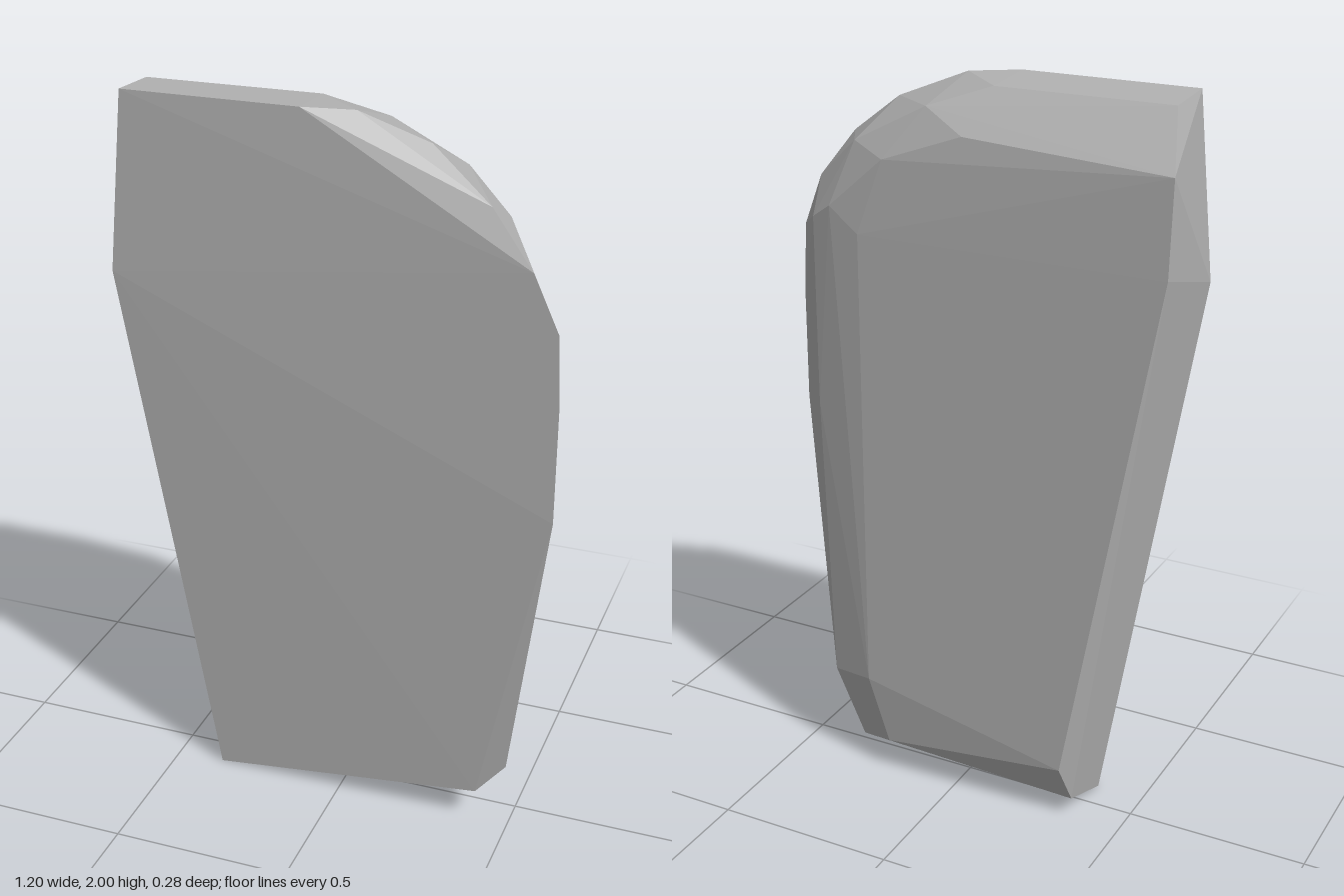
import * as THREE from 'three';
import { ConvexGeometry } from 'three/addons/geometries/ConvexGeometry.js';

export function createModel() {
  const model = new THREE.Group();
  const stone = new THREE.MeshStandardMaterial({ color: 0xb2b2b2 });
  stone.name = 'stone grey';

  // Outline of the broad front face
  const front = [
    [-0.365, 0, 0.085], [0.41, 0.105, 0.108], [0.495, 0.21, 0.11],
    [0.595, 1.0, 0.14], [0.595, 1.32, 0.14], [0.585, 1.51, 0.14],
    [0.515, 1.66, 0.14], [-0.6, 1.52, 0.14],
  ];
  // Chipped, rounded top
  const crown = [
    [-0.555, 2, 0.135], [-0.08, 2, 0.13], [0.05, 1.993, 0.085],
    [0.23, 1.92, 0.05], [0.4, 1.8, 0.11],
    [-0.555, 1.99, -0.02], [-0.08, 1.99, -0.03], [0.08, 1.935, -0.085],
    [0.28, 1.83, -0.095], [0.4, 1.72, -0.065],
  ];
  // Bevelled rim of the back face
  const back = [
    [-0.6, 1.85, -0.135], [-0.04, 1.88, -0.125], [0.18, 1.8, -0.135],
    [0.34, 1.66, -0.13], [0.4, 1.62, -0.112], [0.4, 1.1, -0.11],
    [0.38, 0.28, -0.1], [-0.595, 1.6, -0.138], [0.25, 1.6, -0.143],
    [0.25, 0.3, -0.14], [-0.34, 0.17, -0.135],
  ];
  // Sloping underside
  const foot = [
    [-0.2, 0.01, 0.06], [0.3, 0.078, -0.085], [0.2, 0.1, -0.118],
    [-0.36, 0.06, -0.09],
  ];

  const points = [...front, ...crown, ...back, ...foot].map((p) => new THREE.Vector3(...p));
  const slab = new THREE.Mesh(new ConvexGeometry(points), stone);
  slab.name = 'stoneSlab';
  model.add(slab);
  return model;
}
